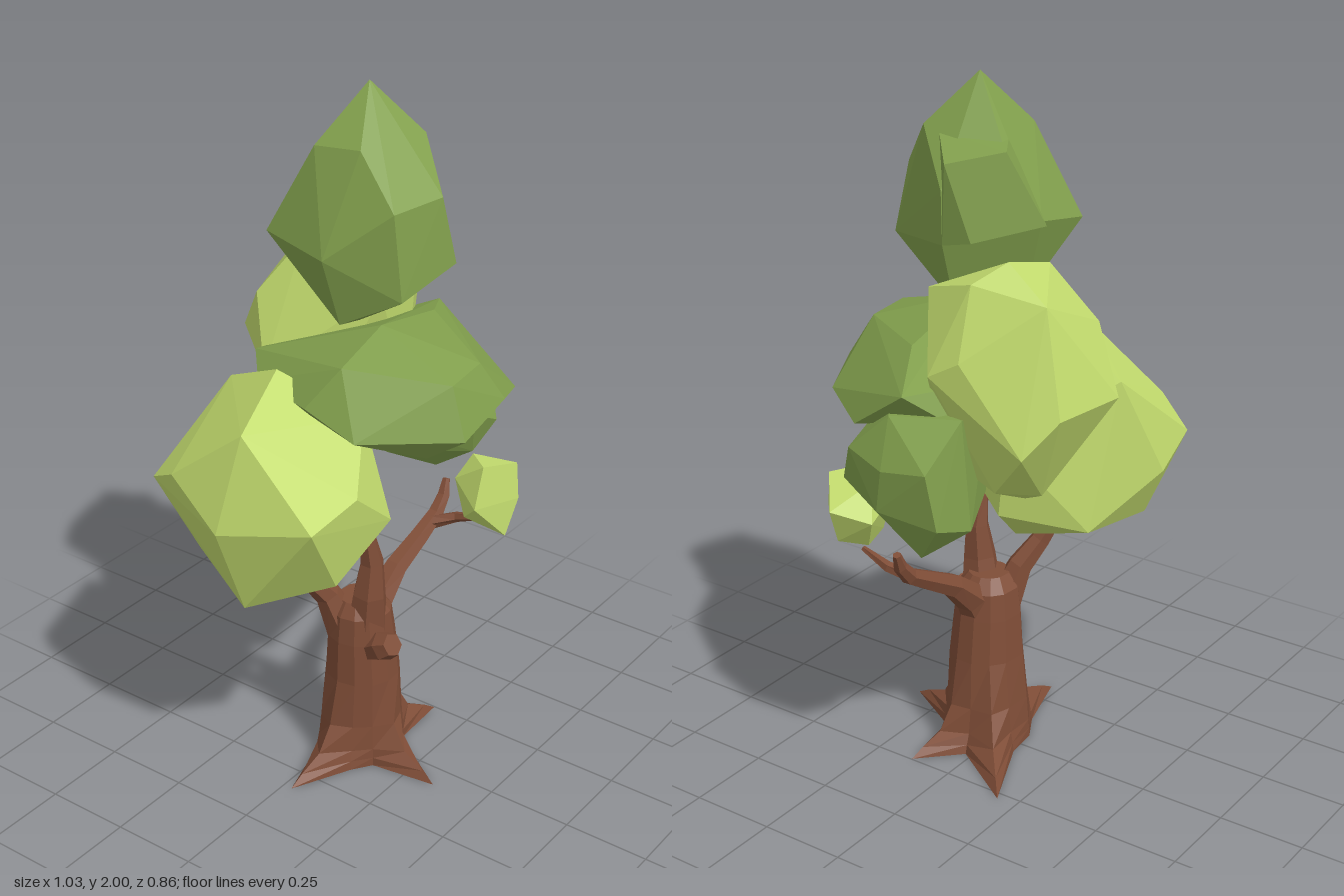
import * as THREE from 'three';
import { ConvexGeometry } from 'three/addons/geometries/ConvexGeometry.js';

// The bark is open underneath, so it shows from both sides
const bark = new THREE.MeshStandardMaterial({ color: 0x7f4d37, side: THREE.DoubleSide });
bark.name = 'bark brown';
const darkLeaf = new THREE.MeshStandardMaterial({ color: 0x82a04d });
darkLeaf.name = 'dark leaf green';
const lightLeaf = new THREE.MeshStandardMaterial({ color: 0xc3dc6e });
lightLeaf.name = 'light leaf green';

// Faceted skin over rings of equal count, listed upward, closed at the top only
function loft(name, rings) {
  const sides = rings[0].length;
  const index = [];
  for (let i = 0; i < rings.length - 1; i++) {
    for (let j = 0; j < sides; j++) {
      const a = i * sides + j;
      const b = i * sides + ((j + 1) % sides);
      index.push(a, b, b + sides, a, b + sides, a + sides);
    }
  }
  const last = (rings.length - 1) * sides;
  for (let j = 1; j < sides - 1; j++) index.push(last, last + j, last + j + 1);
  const indexed = new THREE.BufferGeometry().setFromPoints(rings.flat());
  indexed.setIndex(index);
  const geometry = indexed.toNonIndexed();
  geometry.computeVertexNormals();
  const mesh = new THREE.Mesh(geometry, bark);
  mesh.name = name;
  return mesh;
}

// Tapering branch through rings given as [x, y, z, radius]
function limb(name, path, sides) {
  const centres = path.map((p) => new THREE.Vector3(p[0], p[1], p[2]));
  const up = new THREE.Vector3(0, 1, 0);
  return loft(name, path.map((p, i) => {
    const a = centres[Math.max(i - 1, 0)];
    const b = centres[Math.min(i + 1, path.length - 1)];
    const turn = new THREE.Quaternion().setFromUnitVectors(up, b.clone().sub(a).normalize());
    return Array.from({ length: sides }, (_, j) => {
      const t = (j / sides) * Math.PI * 2;
      return new THREE.Vector3(Math.sin(t) * p[3], 0, Math.cos(t) * p[3])
        .applyQuaternion(turn).add(centres[i]);
    });
  }));
}

// Trunk whose foot spreads into pointed roots, open underneath
function trunkWithRoots() {
  // Columns: [angle in degrees, reach at the ground]; the long ones are root tips
  const columns = [[-125, 0.14], [-94, 0.31], [-65, 0.15], [-38, 0.13], [-10, 0.3], [18, 0.14],
    [45, 0.13], [73, 0.28], [101, 0.16], [129, 0.38], [155, 0.15], [195, 0.13]];
  // Levels: [height, trunk radius, share of the reach, x, z]
  const levels = [[0, 0.125, 1, -0.02, 0.05], [0.025, 0.125, 0.75, -0.02, 0.05],
    [0.055, 0.125, 0.34, -0.02, 0.05], [0.13, 0.12, 0.1, -0.02, 0.05],
    [0.27, 0.111, 0, -0.022, 0.055], [0.4, 0.1, 0, -0.028, 0.055],
    [0.48, 0.09, 0, -0.03, 0.055], [0.52, 0.06, 0, -0.035, 0.055]];
  return loft('trunk', levels.map(([y, r, share, x, z]) => columns.map(([deg, reach]) => {
    const t = THREE.MathUtils.degToRad(deg);
    const d = r + (reach - r) * share;
    return new THREE.Vector3(x + Math.sin(t) * d, y, z + Math.cos(t) * d);
  })));
}

// Chunky foliage mass wrapped around a few corner points
function foliage(name, material, points) {
  const geometry = new ConvexGeometry(points.map((p) => new THREE.Vector3(...p)));
  const mesh = new THREE.Mesh(geometry, material);
  mesh.name = name;
  return mesh;
}

export function createModel() {
  const tree = new THREE.Group();
  tree.name = 'tree';
  tree.add(trunkWithRoots());

  // Branches
  tree.add(limb('longBranch', [
    [-0.01, 0.38, 0.06, 0.065], [0.05, 0.465, 0.06, 0.048], [0.13, 0.535, 0.065, 0.036],
    [0.23, 0.59, 0.075, 0.03], [0.31, 0.635, 0.08, 0.025], [0.35, 0.68, 0.08, 0.02],
    [0.37, 0.725, 0.075, 0.012]], 6));
  tree.add(limb('twig', [
    [0.28, 0.62, 0.08, 0.022], [0.315, 0.645, 0.15, 0.016], [0.31, 0.675, 0.24, 0.008]], 5));
  tree.add(limb('middleBranch', [
    [-0.04, 0.42, 0.085, 0.065], [-0.05, 0.55, 0.1, 0.05], [-0.045, 0.65, 0.105, 0.035],
    [-0.06, 0.74, 0.1, 0.022]], 6));
  tree.add(limb('backBranch', [
    [-0.06, 0.4, 0.03, 0.06], [-0.1, 0.53, -0.01, 0.038], [-0.15, 0.6, -0.045, 0.03],
    [-0.19, 0.68, -0.08, 0.022]], 6));
  tree.add(limb('knot', [
    [-0.065, 0.37, 0.11, 0.035], [-0.07, 0.405, 0.165, 0.045], [-0.075, 0.425, 0.2, 0.034]], 6));

  // Light foliage
  tree.add(foliage('leftFoliage', lightLeaf, [
    [-0.52, 0.9, -0.06], [-0.44, 1.17, -0.03], [-0.41, 0.93, -0.37], [-0.28, 0.85, -0.37],
    [-0.47, 1.0, -0.25], [-0.445, 0.65, -0.03], [-0.445, 0.95, 0.2], [-0.26, 0.98, 0.21],
    [-0.09, 0.84, 0.2], [-0.3, 0.72, 0.17], [-0.2, 1.25, -0.1], [-0.14, 1.15, -0.31],
    [-0.22, 0.6, 0], [-0.12, 0.61, 0.02], [0.07, 0.76, -0.05], [0.08, 0.98, -0.08],
    [-0.05, 0.72, -0.27], [-0.32, 0.69, -0.29], [-0.08, 1.12, 0.1]]));
  tree.add(foliage('backFoliage', lightLeaf, [
    [0.07, 1.2, -0.43], [0.3, 1.2, -0.4], [0.37, 1.1, -0.33], [0.26, 1.48, -0.33],
    [0.24, 1.57, -0.2], [0.32, 1.52, -0.14], [0.05, 1.52, -0.2], [0.39, 1.33, -0.15],
    [0.4, 1.28, -0.06], [0.27, 1.47, 0.03], [0.1, 1.4, 0.03], [-0.02, 1.36, -0.31],
    [-0.07, 1.15, -0.25], [0.13, 0.87, -0.18], [0.2, 0.93, -0.28], [0.33, 0.97, -0.22],
    [0, 1.05, -0.1], [0.25, 1.0, 0]]));
  tree.add(foliage('smallFoliage', lightLeaf, [
    [0.23, 0.89, 0.29], [0.32, 0.885, 0.345], [0.42, 0.82, 0.265], [0.37, 0.71, 0.28],
    [0.27, 0.67, 0.345], [0.19, 0.77, 0.29], [0.23, 0.71, 0.23], [0.3, 0.88, 0.21],
    [0.35, 0.78, 0.175], [0.31, 0.78, 0.36], [0.31, 0.69, 0.22], [0.24, 0.82, 0.19]]));

  // Dark foliage
  tree.add(foliage('topFoliage', darkLeaf, [
    [0.065, 2, 0.01], [0.15, 1.86, 0.13], [-0.07, 1.86, 0.08], [-0.08, 1.85, -0.06],
    [0.13, 1.8, -0.12], [0.24, 1.72, 0.01], [0.11, 1.54, 0.26],
    [0.07, 1.73, 0.24], [-0.09, 1.72, 0.2], [-0.08, 1.48, 0.22], [-0.17, 1.58, 0.03],
    [-0.12, 1.6, -0.19], [0.12, 1.65, -0.22], [-0.12, 1.39, 0.05], [0.01, 1.35, 0.02],
    [0.2, 1.41, 0], [0.25, 1.58, 0], [0.1, 1.44, -0.16]]));
  tree.add(foliage('topFoliageBump', darkLeaf, [
    [0.17, 1.83, -0.145], [0.265, 1.8, -0.02], [0.12, 1.64, -0.235], [0.25, 1.6, -0.09],
    [0.25, 1.58, 0], [0.15, 1.85, 0.08], [0.08, 1.84, -0.09], [0.1, 1.7, 0]]));
  tree.add(foliage('middleFoliage', darkLeaf, [
    [-0.26, 1.14, 0.2], [-0.25, 1.19, 0.03], [-0.18, 1.3, 0.1], [0, 1.36, 0.1],
    [-0.17, 1.18, -0.19], [-0.08, 1.22, -0.27], [-0.08, 1.14, 0.425], [0.15, 1.17, 0.4],
    [0.1, 1.28, 0.35], [-0.06, 1.28, 0.37], [0.3, 1.13, 0.34], [0.47, 1.24, -0.03],
    [0.43, 1.11, 0.16], [0.28, 1.3, 0.08], [0.12, 1.02, 0.14], [-0.1, 1.07, 0.32],
    [0, 1.05, 0], [0.38, 1.16, -0.1]]));
  tree.add(foliage('rightFoliage', darkLeaf, [
    [0.51, 1.06, -0.13], [0.515, 1.04, 0.01], [0.51, 0.92, 0.03], [0.45, 0.79, -0.07],
    [0.49, 0.9, -0.15], [0.38, 0.87, -0.18], [0.32, 0.79, 0.07], [0.1, 0.92, 0.05],
    [0.1, 1.0, 0.1], [0.3, 1.0, 0.21], [0.42, 0.94, 0.21], [0.47, 1.06, 0.15],
    [0.39, 1.18, -0.16], [0.45, 1.17, 0.03], [0.2, 1.1, -0.1], [0.28, 1.15, 0.15],
    [0.2, 0.9, -0.1], [0.36, 0.85, 0.17]]));

  return tree;
}
